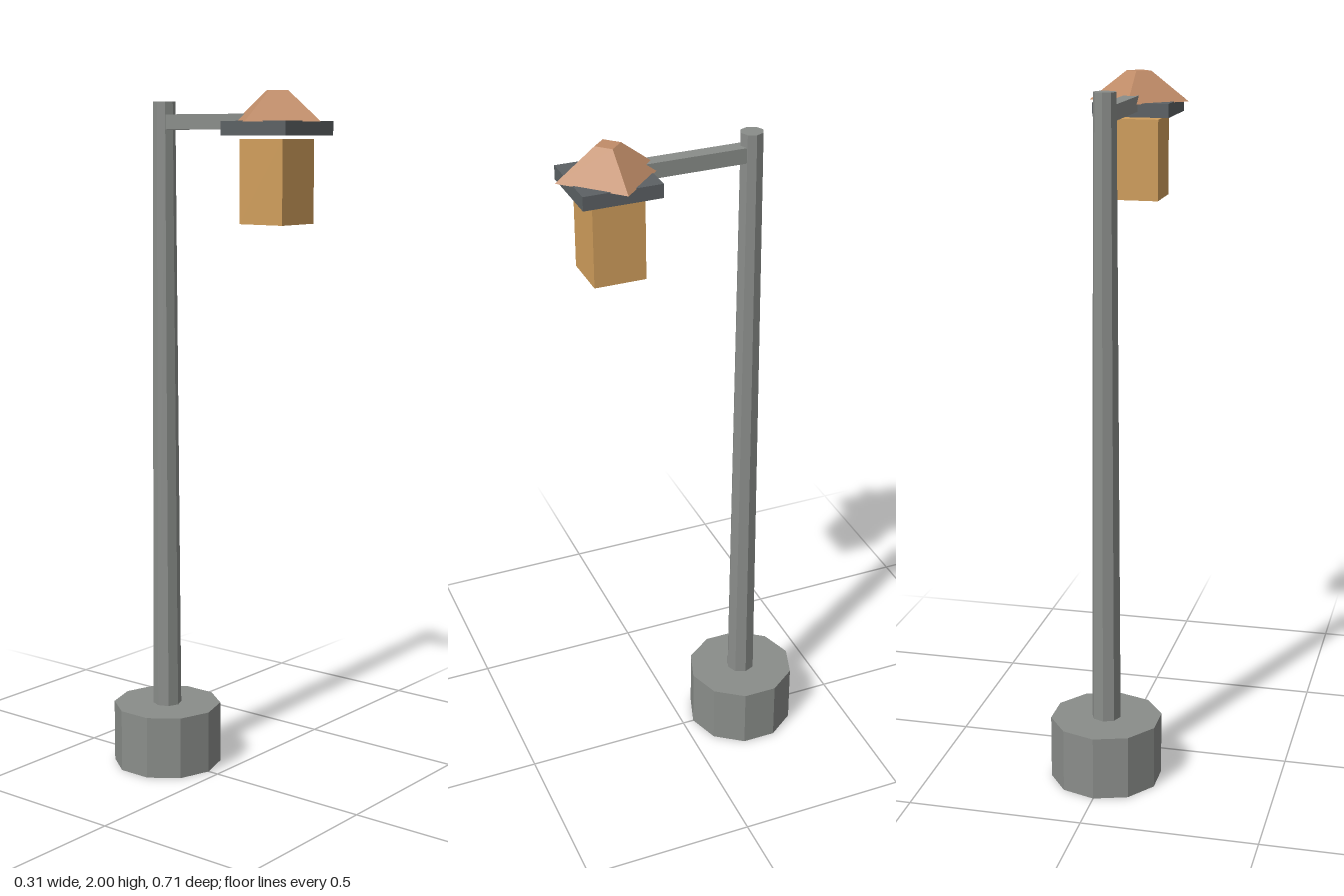
import * as THREE from 'three';

const material = (name, color) => {
  const m = new THREE.MeshStandardMaterial({ color });
  m.name = name;
  return m;
};

export function createModel() {
  const model = new THREE.Group();
  model.name = 'streetLamp';

  const grey = material('grey metal', 0x8a8d8a);
  const dark = material('dark slate', 0x5c6164);
  const copper = material('copper', 0xc08c68);
  const amber = material('amber glass', 0xd09e5c);

  const POLE_Z = -0.195, LAMP_Z = 0.207;

  // Places a part so that it spans y0 to y1
  const add = (name, geometry, mat, y0, y1, z) => {
    const mesh = new THREE.Mesh(geometry, mat);
    mesh.name = name;
    mesh.position.set(0, (y0 + y1) / 2, z);
    model.add(mesh);
  };
  // Faceted cylinder or frustum
  const prism = (name, rTop, rBottom, sides, mat, y0, y1, z) => {
    const g = new THREE.CylinderGeometry(rTop, rBottom, y1 - y0, sides).toNonIndexed();
    g.computeVertexNormals();
    add(name, g, mat, y0, y1, z);
  };
  const box = (name, w, d, mat, y0, y1, z) =>
    add(name, new THREE.BoxGeometry(w, y1 - y0, d), mat, y0, y1, z);

  // Footing and tapered pole
  prism('base', 0.161, 0.161, 10, grey, 0, 0.185, POLE_Z);
  prism('pole', 0.032, 0.043, 8, grey, 0.1, 1.974, POLE_Z);

  // Arm reaching from the pole into the lamp cap
  box('arm', 0.043, LAMP_Z - POLE_Z, grey, 1.895, 1.938, (LAMP_Z + POLE_Z) / 2);

  // Lamp head: glass, square cap, and a roof turned corner-forward
  box('lantern', 0.145, 0.145, amber, 1.64, 1.87, LAMP_Z);
  box('cap', 0.219, 0.219, dark, 1.879, 1.918, LAMP_Z);
  prism('roof', 0.036, 0.145, 4, copper, 1.916, 2, LAMP_Z);

  return model;
}
